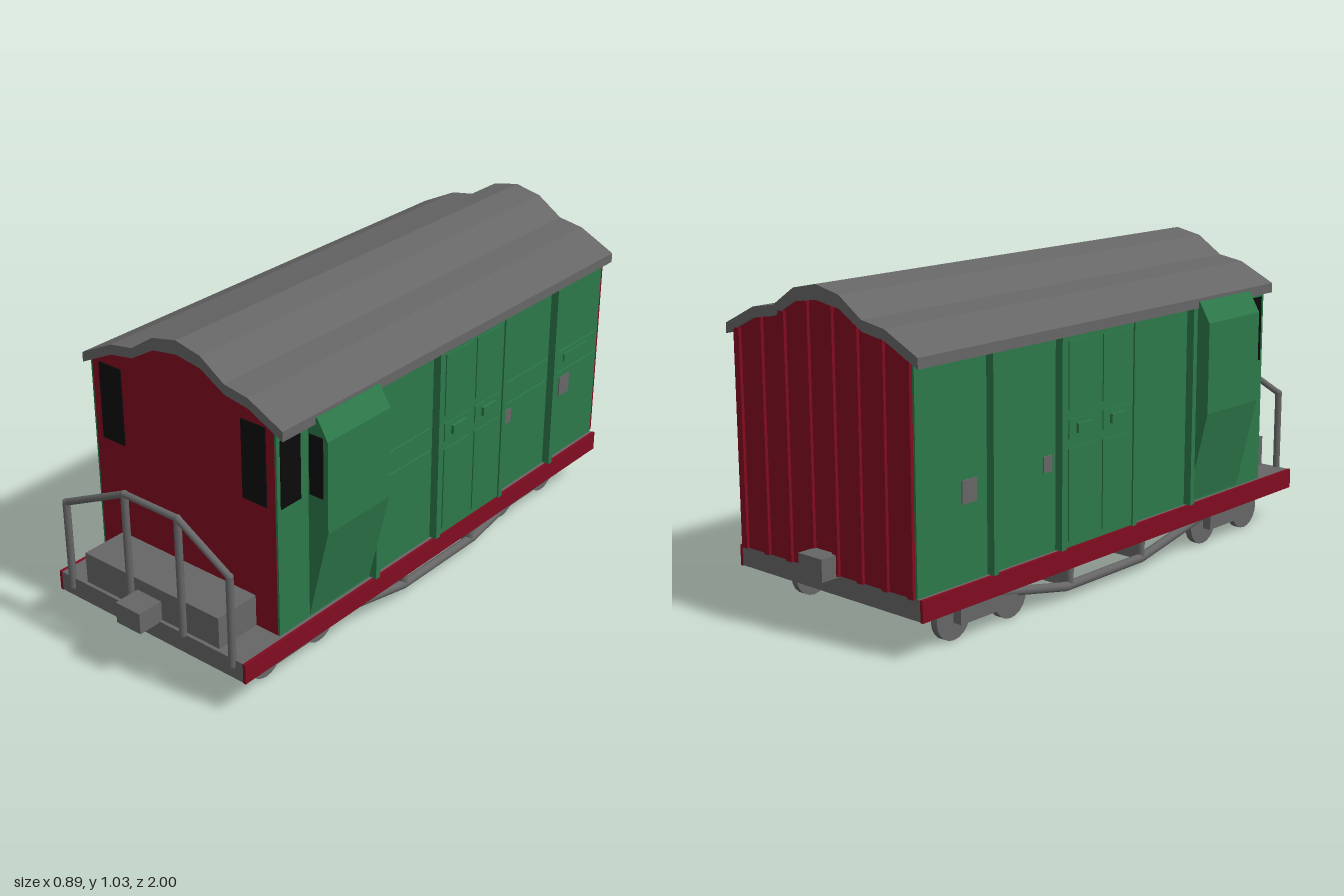
import * as THREE from 'three';

const mat = (name, color, opts = {}) => {
  const m = new THREE.MeshStandardMaterial({ color, ...opts });
  m.name = name;
  return m;
};

export function createModel() {
  const grey = mat('grey', 0x666666);
  const red = mat('red', 0x800c20);
  const green = mat('green', 0x2c784a);
  const black = mat('black', 0x0b0b0b);
  const root = new THREE.Group();
  root.name = 'brakeVan';

  const add = (name, geo, material) => {
    const m = new THREE.Mesh(geo, material);
    m.name = name;
    root.add(m);
    return m;
  };
  // Box given by its extents on each axis
  const box = (name, material, x0, x1, y0, y1, z0, z1) => {
    const g = new THREE.BoxGeometry(Math.abs(x1 - x0), y1 - y0, z1 - z0);
    g.translate((x0 + x1) / 2, (y0 + y1) / 2, (z0 + z1) / 2);
    return add(name, g, material);
  };
  // Round bar between two points
  const bar = (name, a, b, r) => {
    const p = new THREE.Vector3(...a), q = new THREE.Vector3(...b);
    const m = add(name, new THREE.CylinderGeometry(r, r, p.distanceTo(q), 10), grey);
    m.position.copy(p).lerp(q, 0.5);
    m.quaternion.setFromUnitVectors(new THREE.Vector3(0, 1, 0), q.sub(p).normalize());
  };
  // Outline in x,y pushed from z0 to z1
  const extrude = (name, pts, z0, z1, material) => {
    const shape = new THREE.Shape(pts.map(([x, y]) => new THREE.Vector2(x, y)));
    const g = new THREE.ExtrudeGeometry(shape, { depth: z1 - z0, bevelEnabled: false });
    g.translate(0, 0, z0);
    return add(name, g, material);
  };
  const mirrored = half => [...half.map(([x, y]) => [-x, y]).reverse(), ...half.slice(1)];

  // Roof
  const top = mirrored([[0, 1.035], [0.095, 1.015], [0.185, 0.955], [0.275, 0.94], [0.403, 0.877]]);
  const under = mirrored([[0, 0.99], [0.095, 0.975], [0.185, 0.922], [0.275, 0.907], [0.403, 0.845]]);
  extrude('roof', [...top, ...under.slice().reverse()], -0.945, 0.755, grey);

  // Body core with red ends
  const ends = mirrored([[0, 0.995], [0.095, 0.98], [0.185, 0.927], [0.275, 0.912], [0.366, 0.866]]);
  extrude('bodyEnds', [[-0.366, 0.185], ...ends, [0.366, 0.185]], -0.935, 0.75, red);

  // Battens on the rear wall
  const roofAt = x => {
    const i = under.findIndex(p => p[0] >= x);
    const [a, b] = [under[i - 1], under[i]];
    return a[1] + (b[1] - a[1]) * (x - a[0]) / (b[0] - a[0]);
  };
  for (let i = 0; i < 8; i++) {
    const x = -0.357 + i * 0.102;
    box('rearBatten', red, x - 0.012, x + 0.012, 0.185, roofAt(x), -0.945, -0.934);
  }

  // Floor, sole bars, couplers and front locker
  box('floor', grey, -0.393, 0.387, 0.12, 0.185, -0.93, 0.922);
  for (const s of [-1, 1])
    box('soleBar', red, s * 0.384, s * 0.394, 0.119, 0.186, -0.932, 0.923);
  box('frontCoupler', grey, -0.055, 0.045, 0.18, 0.25, 0.9, 1);
  box('rearCoupler', grey, -0.055, 0.045, 0.18, 0.25, -1, -0.93);
  box('frontLocker', grey, -0.28, 0.28, 0.18, 0.29, 0.74, 0.91);

  // Both sides of the van
  for (const s of [-1, 1]) {
    const side = s > 0 ? 'left' : 'right';
    // Part standing out from the side between two distances from the middle
    const plate = (name, m, x0, x1, y0, y1, z0, z1) =>
      box(side + name, m, s * x0, s * x1, y0, y1, z0, z1);

    plate('Wall', green, 0.36, 0.373, 0.185, 0.862, -0.931, 0.749);
    plate('Window', black, 0.372, 0.376, 0.61, 0.83, 0.65, 0.735);
    plate('FrontWindow', black, 0.243, 0.335, 0.61, 0.866, 0.748, 0.754);

    // Bay with a forward window
    const bay = [[0.36, 0.19], [0.373, 0.19], [0.447, 0.5], [0.447, 0.8], [0.408, 0.866], [0.36, 0.866]];
    extrude(side + 'Bay', bay.map(([x, y]) => [s * x, y]), 0.332, 0.615, green);
    plate('BayWindow', black, 0.38, 0.43, 0.612, 0.808, 0.614, 0.619);

    // Door posts
    for (const z of [0.322, 0.014, -0.332, -0.634])
      plate('Post', green, 0.36, 0.4, 0.187, 0.855, z - 0.01, z + 0.01);

    // Double doors with two panelled leaves and handles
    plate('Doors', green, 0.36, 0.394, 0.19, 0.852, -0.325, 0.007);
    for (const z of [-0.24, -0.078]) {
      for (const [y0, y1] of [[0.21, 0.5], [0.53, 0.59], [0.62, 0.83]])
        plate('DoorPanel', green, 0.39, 0.398, y0, y1, z - 0.068, z + 0.068);
      plate('DoorHandle', green, 0.395, 0.408, 0.545, 0.575, z - 0.035, z + 0.035);
    }

    // Raised side panels
    if (s > 0) {
      for (const [z0, z1] of [[0.04, 0.3], [-0.61, -0.355], [-0.92, -0.65]])
        for (const [y0, y1] of [[0.2, 0.51], [0.53, 0.59], [0.61, 0.838]])
          plate('Panel', green, 0.37, 0.379, y0, y1, z0, z1);
      plate('LabelFrame', green, 0.375, 0.384, 0.545, 0.575, -0.86, -0.71);
    }
    const px = s > 0 ? 0.378 : 0.372;
    plate('SmallPlate', grey, px, px + 0.005, 0.44, 0.49, -0.4, -0.36);
    plate('LargePlate', grey, px, px + 0.005, 0.42, 0.49, -0.75, -0.69);

    // Wheels and their axle boxes
    const wx = s > 0 ? 0.29 : -0.316;
    for (const zc of [0.612, -0.618]) {
      box(side + 'AxleBox', grey, wx - 0.042, wx + 0.045, 0.053, 0.121, zc - 0.123, zc + 0.123);
      for (const dz of [-0.123, 0.123]) {
        const wheel = new THREE.CylinderGeometry(0.07, 0.07, 0.024, 20);
        wheel.rotateZ(Math.PI / 2).translate(wx, 0.07, zc + dz);
        add(side + 'Wheel', wheel, grey);
      }
    }

    // Truss rod under the floor
    const rod = [[0.5, 0.118], [0.12, 0.042], [-0.26, 0.042], [-0.63, 0.118]];
    const rx = s * 0.345;
    for (let i = 0; i < 3; i++)
      bar(side + 'TrussRod', [rx, rod[i][1], rod[i][0]], [rx, rod[i + 1][1], rod[i + 1][0]], 0.015);
    for (const z of [0.12, -0.24])
      bar(side + 'TrussPost', [rx, 0.04, z], [rx, 0.122, z], 0.013);
  }

  // Cross beams between the truss rods
  for (const z of [0.12, -0.24])
    box('crossBeam', grey, -0.345, 0.345, 0.04, 0.121, z - 0.013, z + 0.013);

  // Front railing
  const rail = [[-0.335, 0.455, 0.15], [-0.072, 0.58, 0.18], [0.145, 0.58, 0.18], [0.343, 0.465, 0.16]];
  rail.forEach(([x, y, base], i) => {
    bar('railPost', [x, base, 0.922], [x, y, 0.922], 0.012);
    add('railJoint', new THREE.SphereGeometry(0.0125, 10, 8).translate(x, y, 0.922), grey);
    if (i < 3) bar('handRail', [x, y, 0.922], [rail[i + 1][0], rail[i + 1][1], 0.922], 0.011);
  });

  return root;
}
